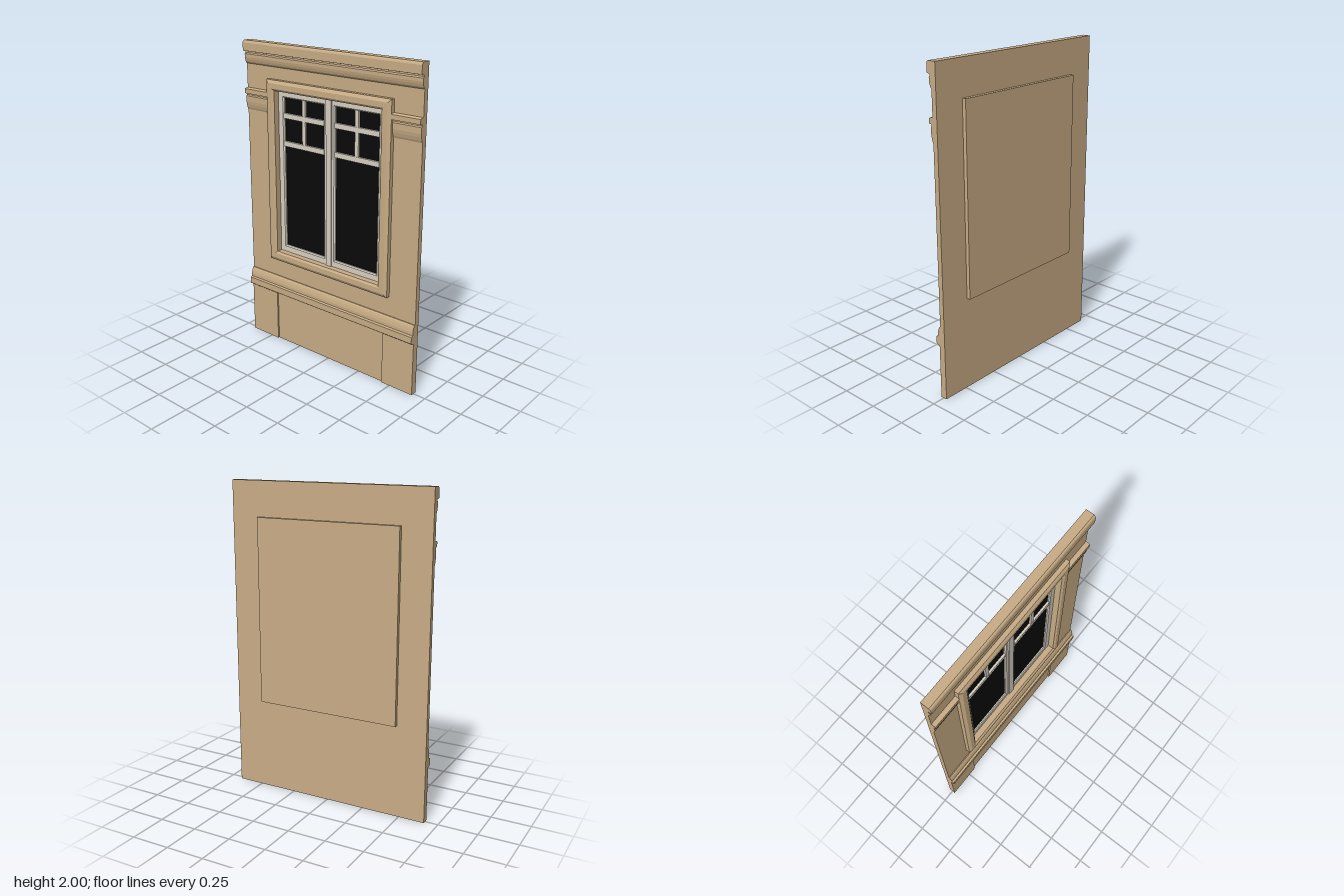
import * as THREE from 'three';

const tan = new THREE.MeshStandardMaterial({ color: 0xc9ad86 });
const cream = new THREE.MeshStandardMaterial({ color: 0xd8d0c2 });
const black = new THREE.MeshStandardMaterial({ color: 0x0a0a0a });

const HALF = 0.667; // half the panel width (along z)
const WALL = -0.01; // x of the wall's decorated face
const BACK = 0.022; // x of the wall's plain face
const WIN = { half: 0.475, bottom: 0.592, top: 1.78, frame: 0.065 };

export function createModel() {
  const model = new THREE.Group();

  const add = (name, geometry, material = tan) => {
    const mesh = new THREE.Mesh(geometry, material);
    mesh.name = name;
    model.add(mesh);
    return mesh;
  };

  // Box given by its limits on each axis
  const box = (name, [x0, x1], [y0, y1], [z0, z1], material) => {
    const g = new THREE.BoxGeometry(x1 - x0, y1 - y0, z1 - z0);
    g.translate((x0 + x1) / 2, (y0 + y1) / 2, (z0 + z1) / 2);
    return add(name, g, material);
  };

  // Moulding: an (x, y) profile run along z, closed against the wall
  const moulding = (name, profile, z0, z1) => {
    const pts = [...profile, [0, profile.at(-1)[1]], [0, profile[0][1]]];
    const shape = new THREE.Shape(pts.map(([x, y]) => new THREE.Vector2(x, y)));
    const g = new THREE.ExtrudeGeometry(shape, { depth: z1 - z0, bevelEnabled: false });
    g.translate(0, 0, z0);
    return add(name, g);
  };

  // Mitred rectangular frame: an (inset, x) profile run round a z/y rectangle
  const mitredFrame = (name, profile, [z0, z1], [y0, y1], material) => {
    const rings = profile.map(([d, x]) => [
      [x, y0 + d, z0 + d], [x, y0 + d, z1 - d], [x, y1 - d, z1 - d], [x, y1 - d, z0 + d],
    ]);
    const pos = [];
    for (let k = 0; k < rings.length - 1; k++) {
      for (let i = 0; i < 4; i++) {
        const j = (i + 1) % 4, p = rings[k], q = rings[k + 1];
        for (const v of [p[i], p[j], q[j], p[i], q[j], q[i]]) pos.push(...v);
      }
    }
    const g = new THREE.BufferGeometry();
    g.setAttribute('position', new THREE.Float32BufferAttribute(pos, 3));
    g.computeVertexNormals();
    return add(name, g, material);
  };

  // Wall with the window opening
  const inner = WIN.half - WIN.frame;
  const sillY = WIN.bottom + WIN.frame, headY = WIN.top - WIN.frame;
  const rect = (Type, z, y0, y1) => new Type([[-z, y0], [z, y0], [z, y1], [-z, y1]]
    .map(([a, b]) => new THREE.Vector2(a, b)));
  const wallShape = rect(THREE.Shape, HALF, 0, 2);
  wallShape.holes.push(rect(THREE.Path, inner, sillY, headY));
  const wall = new THREE.ExtrudeGeometry(wallShape, { depth: BACK - WALL, bevelEnabled: false });
  wall.rotateY(-Math.PI / 2).translate(BACK, 0, 0);
  add('wall', wall);

  // Box behind the window
  box('windowBackBox', [BACK, 0.046], [WIN.bottom, WIN.top], [-WIN.half, WIN.half]);

  // Top cornice and chair rail run the full width
  moulding('topCornice', [
    [-0.03, 2], [-0.038, 1.994], [-0.042, 1.985], [-0.042, 1.935], [-0.019, 1.93], [-0.019, 1.922],
    [-0.027, 1.915], [-0.027, 1.895], [-0.024, 1.88], [-0.019, 1.865], [-0.012, 1.855],
  ], -HALF, HALF);
  moulding('chairRail', [
    [-0.016, 0.468], [-0.022, 0.46], [-0.027, 0.445], [-0.031, 0.425], [-0.031, 0.405],
    [-0.045, 0.4], [-0.045, 0.358], [-0.038, 0.352], [-0.02, 0.346],
  ], -HALF, HALF);

  for (const side of [-1, 1]) {
    const span = (a, b) => (side < 0 ? [-b, -a] : [a, b]);

    // Side cornices stop at the window frame
    moulding('sideCornice', [
      [-0.02, 1.703], [-0.037, 1.697], [-0.037, 1.668], [-0.019, 1.663], [-0.019, 1.657],
      [-0.025, 1.65], [-0.025, 1.615], [-0.022, 1.595], [-0.017, 1.575], [-0.012, 1.563],
    ], ...span(WIN.half - 0.01, HALF));

    // Plinth blocks at both ends of the base
    box('plinthBlock', [-0.02, 0], [0, 0.35], span(0.44, HALF));

    // Sash with glazing bars in its upper part
    const z = span(0, inner), mid = side * inner / 2;
    mitredFrame('sash', [[0, 0.014], [0, 0], [0.036, 0], [0.044, 0.006], [0.044, 0.016]],
      z, [sillY, headY], cream);
    const bars = [0.002, 0.016];
    box('verticalGlazingBar', bars, [1.38, headY - 0.04], [mid - 0.013, mid + 0.013], cream);
    for (const y of [1.383, 1.56]) {
      box('crossGlazingBar', [0, 0.016], [y - 0.016, y + 0.016], span(0.04, inner - 0.04), cream);
    }
    box('glass', [0.014, 0.02], [sillY, headY], z, black);
  }

  // Post between the two sashes
  box('mullion', [-0.008, 0.014], [sillY, headY], [-0.02, 0.02], cream);

  // Window surround with chamfered edges
  mitredFrame('windowSurround', [
    [0, 0], [0, -0.036], [0.02, -0.047], [0.052, -0.047], [WIN.frame, -0.038], [WIN.frame, 0.02],
  ], [-WIN.half, WIN.half], [WIN.bottom, WIN.top]);

  return model;
}
